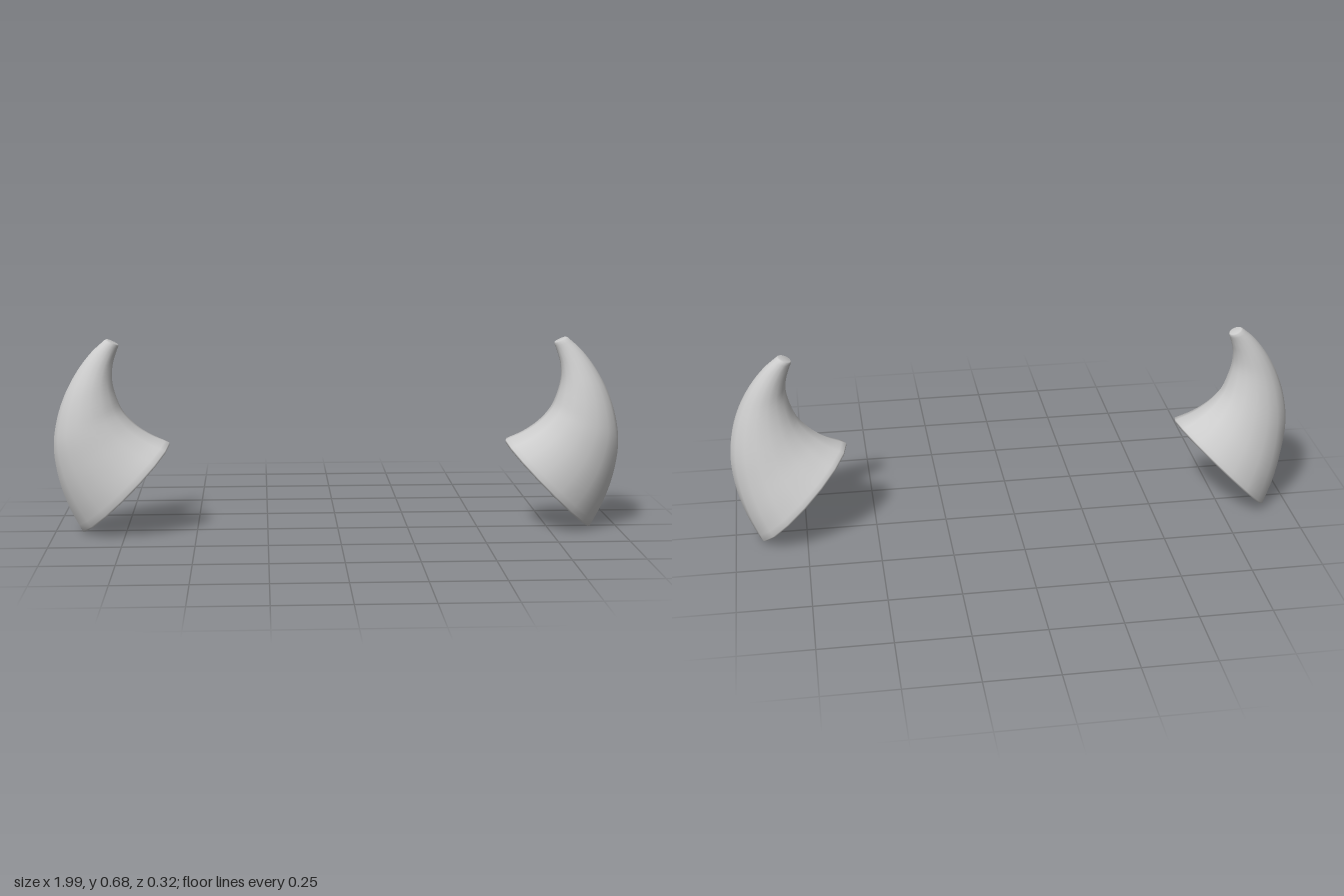
import * as THREE from 'three';

const SIDES = 16, RINGS = 32;
const V = (x, y, z) => new THREE.Vector3(x, y, z);

// Outer edge of the horn (x, y) with the half width in z
const outer = new THREE.CatmullRomCurve3([
  V(0.912, 0.008, 0.163), V(0.955, 0.10, 0.143), V(0.985, 0.20, 0.123),
  V(0.998, 0.31, 0.105), V(0.985, 0.41, 0.088), V(0.955, 0.50, 0.07),
  V(0.912, 0.58, 0.053), V(0.862, 0.645, 0.038), V(0.812, 0.69, 0.027),
], false, 'catmullrom', 0.5);

// Inner edge of the horn (x, y) with the z offset of the section
const inner = new THREE.CatmullRomCurve3([
  V(0.597, 0.33, 0), V(0.655, 0.355, 0.005), V(0.71, 0.392, 0.012),
  V(0.753, 0.44, 0.018), V(0.775, 0.49, 0.021), V(0.788, 0.545, 0.02),
  V(0.787, 0.595, 0.014), V(0.777, 0.635, 0.008), V(0.765, 0.668, 0.003),
], false, 'catmullrom', 0.5);

function hornGeometry(side) {
  const pos = [], index = [];

  // One oval section; grow and push shape the small bevels at both ends
  const ring = (t, grow = 1, push = [0, 0]) => {
    const o = outer.getPoint(t), i = inner.getPoint(t);
    const skew = Math.max(0, 1 - t * 2.5);
    for (let k = 0; k < SIDES; k++) {
      const a = ((k + 0.5) / SIDES) * Math.PI * 2;
      const c = 0.5 * grow * Math.cos(a), z = o.z * grow * Math.sin(a);
      pos.push(
        side * ((o.x + i.x) / 2 + (o.x - i.x) * c - 0.2 * skew * z + push[0]),
        (o.y + i.y) / 2 + (o.y - i.y) * c + 0.08 * skew * z + push[1],
        z + i.z);
    }
  };
  const tri = (a, b, c) => (side > 0 ? index.push(a, b, c) : index.push(a, c, b));

  ring(0, 0.975, [-0.005, -0.005]);
  for (let j = 0; j <= RINGS; j++) ring(j / RINGS);
  ring(1, 0.85, [-0.002, 0.003]);

  // Side walls
  const count = RINGS + 3;
  for (let j = 0; j < count - 1; j++) {
    for (let k = 0; k < SIDES; k++) {
      const n = (k + 1) % SIDES, a = j * SIDES, b = a + SIDES;
      tri(a + k, b + k, a + n);
      tri(b + k, b + n, a + n);
    }
  }

  // Closed base and tip
  const cap = (start, flip) => {
    const mid = [0, 0, 0], centre = pos.length / 3;
    for (let k = 0; k < SIDES; k++)
      for (let d = 0; d < 3; d++) mid[d] += pos[(start + k) * 3 + d] / SIDES;
    pos.push(...mid);
    for (let k = 0; k < SIDES; k++) {
      const a = start + k, b = start + (k + 1) % SIDES;
      flip ? tri(centre, b, a) : tri(centre, a, b);
    }
  };
  cap(0, false);
  cap((count - 1) * SIDES, true);

  const geo = new THREE.BufferGeometry();
  geo.setAttribute('position', new THREE.Float32BufferAttribute(pos, 3));
  geo.setIndex(index);
  geo.computeVertexNormals();
  return geo;
}

export function createModel() {
  const group = new THREE.Group();
  group.name = 'horns';
  const material = new THREE.MeshStandardMaterial({ color: 0xcccccc });
  for (const [name, side] of [['leftHorn', 1], ['rightHorn', -1]]) {
    const horn = new THREE.Mesh(hornGeometry(side), material);
    horn.name = name;
    group.add(horn);
  }
  return group;
}
